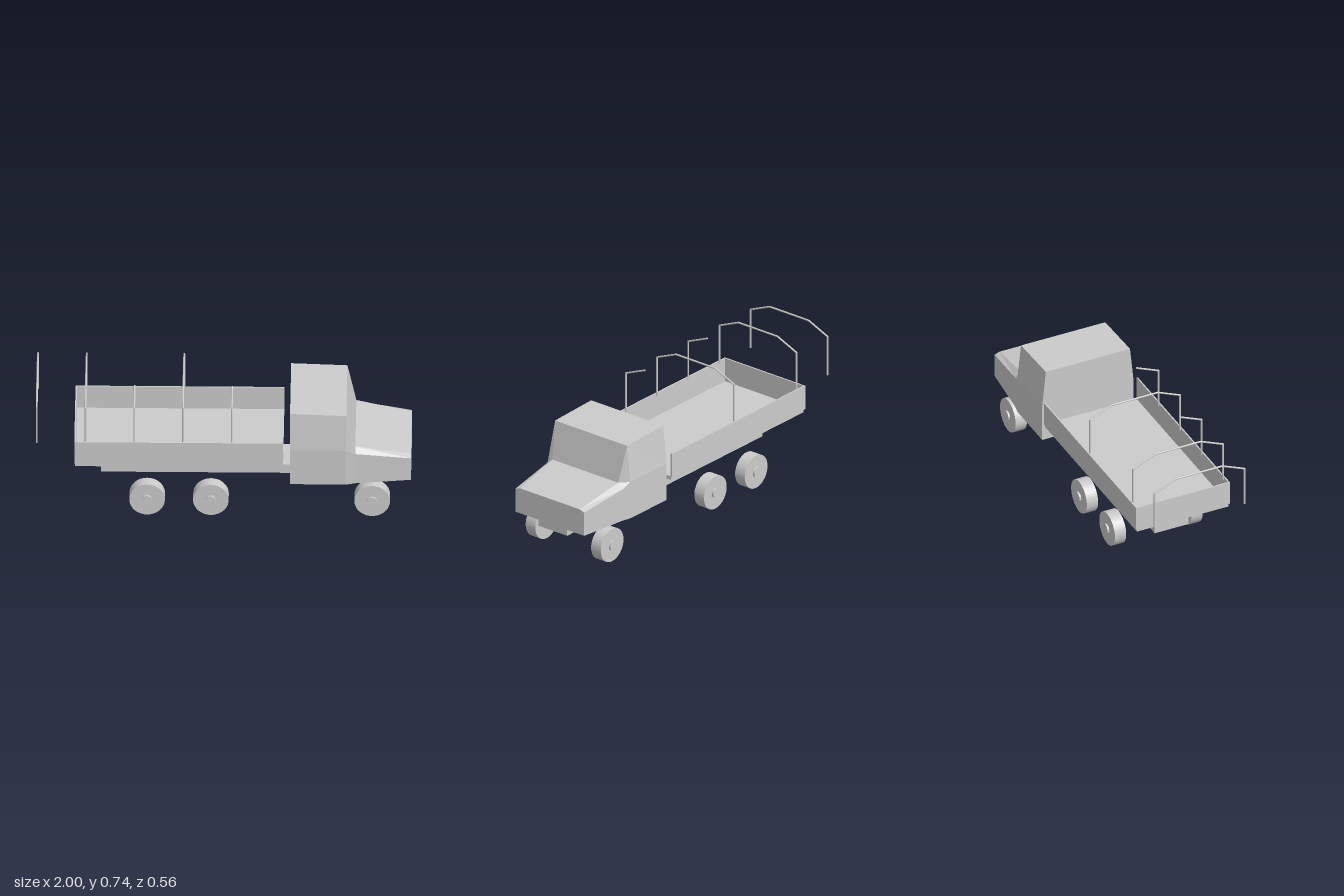
import * as THREE from 'three';

const paint = new THREE.MeshStandardMaterial({ color: 0xcccccc });
paint.name = 'light grey';

function add(parent, name, geometry, x = 0, y = 0, z = 0) {
  const mesh = new THREE.Mesh(geometry, paint);
  mesh.name = name;
  mesh.position.set(x, y, z);
  parent.add(mesh);
  return mesh;
}

// Box given by its limits on each axis
function block(parent, name, x0, x1, y0, y1, z0, z1) {
  return add(parent, name, new THREE.BoxGeometry(x1 - x0, y1 - y0, z1 - z0),
    (x0 + x1) / 2, (y0 + y1) / 2, (z0 + z1) / 2);
}

// Cab and bonnet: mirrored sections [x, bottom, shoulder, top], each corner as [z, y]
function cabGeometry() {
  const sections = [
    [0.355, [0.272, 0.206], [0.272, 0.42], [0.25, 0.637]],
    [0.655, [0.272, 0.206], [0.272, 0.42], [0.25, 0.626]],
    [0.703, [0.262, 0.208], [0.262, 0.393], [0.228, 0.42]],
    [1.0, [0.238, 0.217], [0.238, 0.353], [0.208, 0.364]],
  ];
  const positions = [], index = [], n = 6;
  for (const [x, ...half] of sections) {
    for (const [z, y] of half) positions.push(x, y, z);
    for (const [z, y] of [...half].reverse()) positions.push(x, y, -z);
  }
  for (let s = 0; s < sections.length - 1; s++) {
    for (let i = 0; i < n; i++) {
      const a = s * n + i, b = s * n + (i + 1) % n, c = b + n, d = a + n;
      index.push(a, d, b, b, d, c);
    }
  }
  const last = (sections.length - 1) * n;
  for (let i = 1; i < n - 1; i++) {
    index.push(0, i, i + 1);
    index.push(last, last + i + 1, last + i);
  }
  const indexed = new THREE.BufferGeometry();
  indexed.setAttribute('position', new THREE.Float32BufferAttribute(positions, 3));
  indexed.setIndex(index);
  const geometry = indexed.toNonIndexed();
  geometry.computeVertexNormals();
  return geometry;
}

// Round bar between two points
function bar(parent, name, from, to, radius) {
  const direction = to.clone().sub(from);
  const mesh = add(parent, name, new THREE.CylinderGeometry(radius, radius, direction.length(), 10));
  mesh.position.copy(from).add(to).multiplyScalar(0.5);
  mesh.quaternion.setFromUnitVectors(new THREE.Vector3(0, 1, 0), direction.normalize());
}

// Cover hoop; a broken one keeps only the post and the slope on one side
function hoop(parent, x, whole) {
  const group = new THREE.Group();
  group.name = whole ? 'coverHoop' : 'brokenCoverHoop';
  const path = [[0.455, 0.267], [0.68, 0.267], [0.736, 0.135], [0.736, -0.135], [0.68, -0.267], [0.455, -0.267]]
    .map(([y, z]) => new THREE.Vector3(x, y, z));
  const count = whole ? 5 : 2;
  for (let i = 0; i < count; i++) {
    bar(group, 'hoopBar', path[i], path[i + 1], 0.005);
    if (i < count - 1) add(group, 'hoopJoint', new THREE.SphereGeometry(0.005, 10, 6), x, path[i + 1].y, path[i + 1].z);
  }
  parent.add(group);
}

export function createModel() {
  const truck = new THREE.Group();
  truck.name = 'truck';

  add(truck, 'cab', cabGeometry());
  block(truck, 'chassis', -0.655, 0.975, 0.167, 0.22, -0.1, 0.1);

  // Cargo bed, open towards the cab
  const bed = new THREE.Group();
  bed.name = 'cargoBed';
  truck.add(bed);
  block(bed, 'bedFloor', -0.79, 0.318, 0.311, 0.332, -0.272, 0.272);
  for (const side of [1, -1]) {
    const wall = block(bed, 'sideBoard', -0.795, 0.318, 0.33, 0.467, 0.271, 0.279);
    wall.position.z *= side;
  }
  block(bed, 'tailBoard', -0.795, -0.787, 0.33, 0.467, -0.272, 0.272);

  // Hoops from the tail forwards
  [true, true, false, true, false].forEach((whole, i) => hoop(truck, -0.995 + i * 0.26, whole));

  // Wheels with hubs showing on both faces
  for (const x of [-0.407, -0.067, 0.793]) {
    for (const side of [1, -1]) {
      const wheel = new THREE.Group();
      wheel.name = 'wheel';
      wheel.position.set(x, 0.095, side * 0.227);
      wheel.rotation.x = Math.PI / 2;
      add(wheel, 'tyre', new THREE.CylinderGeometry(0.095, 0.095, 0.067, 40));
      add(wheel, 'hub', new THREE.CylinderGeometry(0.028, 0.028, 0.088, 24));
      truck.add(wheel);
    }
  }
  return truck;
}
